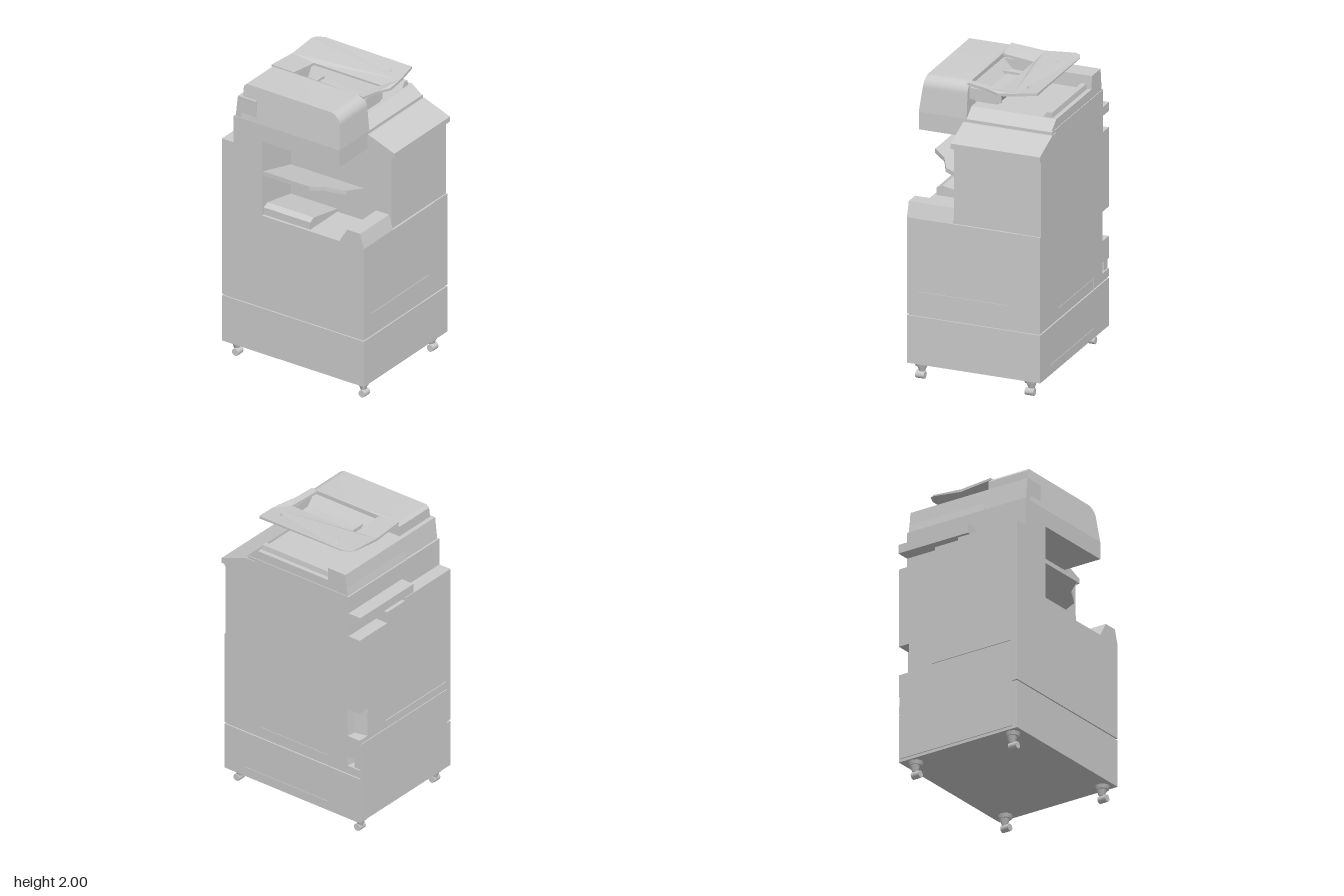
import * as THREE from 'three';
import { toCreasedNormals } from 'three/addons/utils/BufferGeometryUtils.js';

const grey = new THREE.MeshStandardMaterial({ color: 0xcccccc, side: THREE.DoubleSide });

export function createModel() {
  const root = new THREE.Group();
  const copier = new THREE.Group();
  copier.name = 'copier';
  copier.rotation.y = THREE.MathUtils.degToRad(18.6);
  root.add(copier);

  const add = (name, geo, parent = copier) => {
    const mesh = new THREE.Mesh(geo, grey);
    mesh.name = name;
    parent.add(mesh);
    return mesh;
  };
  const extrude = (pts, depth, hole) => {
    const shape = new THREE.Shape(pts.map(p => new THREE.Vector2(...p)));
    if (hole) shape.holes.push(new THREE.Path(hole.map(p => new THREE.Vector2(...p))));
    return new THREE.ExtrudeGeometry(shape, { depth, bevelEnabled: false });
  };
  const flip = pts => pts.map(([a, b]) => [a, -b]);
  // floor plan [x, z] raised from y0 to y1
  const plan = (pts, y0, y1, hole) =>
    extrude(flip(pts), y1 - y0, hole && flip(hole)).rotateX(-Math.PI / 2).translate(0, y0, 0);
  // side profile [z, y] swept from x0 to x1
  const side = (pts, x0, x1) =>
    extrude(pts.map(([z, y]) => [-z, y]), x1 - x0).rotateY(Math.PI / 2).translate(x0, 0, 0);
  // front profile [x, y] swept from z0 to z1
  const front = (pts, z0, z1) => extrude(pts, z1 - z0).translate(0, 0, z0);
  const box = (x0, x1, y0, y1, z0, z1) =>
    new THREE.BoxGeometry(x1 - x0, y1 - y0, z1 - z0)
      .translate((x0 + x1) / 2, (y0 + y1) / 2, (z0 + z1) / 2);
  const rect = (x0, x1, z0, z1) => [[x0, z0], [x1, z0], [x1, z1], [x0, z1]];

  // Cabinet, in layers; some layers are cut at the back right corner
  const full = rect(-0.46, 0.46, -0.55, 0.55);
  const cut = [[-0.46, -0.55], [0.38, -0.55], [0.40, -0.46], [0.46, -0.45], [0.46, 0.55], [-0.46, 0.55]];
  add('lowerCabinet', plan(full, 0.11, 0.435));
  add('drawerGap', box(-0.45, 0.45, 0.435, 0.447, -0.54, 0.54));
  [[full, 0.447, 0.50], [cut, 0.50, 0.57], [full, 0.57, 0.72], [cut, 0.72, 0.92], [full, 0.92, 1.1]]
    .forEach(([pts, y0, y1]) => add('upperCabinet', plan(pts, y0, y1)));

  // Tower on the right and back, leaving the paper exit open at the front left
  const tower = (back, z = back) => [[-0.46, z], [0, z], [0, back], [0.46, back], [0.46, 0.54],
    [-0.14, 0.54], [-0.14, -0.24], [-0.46, -0.24]];
  add('tower', plan(tower(-0.55), 1.1, 1.46));
  add('towerUpper', plan(tower(-0.46, -0.55), 1.46, 1.56));
  add('towerTop', plan(tower(-0.46), 1.56, 1.63));
  add('rearLedge', box(-0.08, 0.46, 1.57, 1.63, -0.555, -0.44));
  add('rearStep', box(0, 0.18, 1.46, 1.54, -0.55, -0.45));

  // Front lip and trays in the paper exit
  add('frontLip', side([[0.36, 1.1], [0.42, 1.2], [0.52, 1.2], [0.55, 1.1]], -0.46, -0.14));
  add('lowerExitTray', front([[-0.44, 1.1], [-0.44, 1.15], [-0.40, 1.17], [-0.14, 1.12], [-0.14, 1.1]], -0.24, 0.12));
  const tray = plan([[-0.45, -0.24], [-0.14, -0.24], [-0.14, 0.33], [-0.30, 0.30], [-0.36, 0.18], [-0.45, 0.12]], 0, 0.03);
  const tp = tray.attributes.position;
  for (let i = 0; i < tp.count; i++) tp.setY(i, tp.getY(i) + 1.30 - (tp.getX(i) + 0.14) * 0.27);
  tray.computeVertexNormals();
  add('upperExitTray', tray);

  // Sloping control panel
  add('controlPanel', side([[0.3, 1.62], [0.568, 1.62], [0.568, 1.655], [0.37, 1.73], [0.3, 1.73]], -0.15, 0.465));
  add('panelShadowGap', box(-0.14, 0.462, 1.605, 1.62, 0.3, 0.548));

  // Scanner
  add('scannerBase', box(-0.46, 0.46, 1.63, 1.75, -0.46, 0.36));
  add('scannerDeck', side([[-0.45, 1.75], [-0.44, 1.81], [0.28, 1.81], [0.36, 1.75]], -0.13, 0.455));
  add('hingeSpine', side([[-0.46, 1.63], [-0.43, 1.9], [-0.29, 1.9], [-0.28, 1.63]], -0.455, 0.455));
  add('deckBar', front([[0.36, 1.81], [0.385, 1.845], [0.42, 1.845], [0.425, 1.81]], -0.28, 0.27));

  // Document feeder: housing with a rounded front and a leaning left face
  const arc = [];
  for (let i = 0; i <= 8; i++) {
    const a = i / 8 * Math.PI / 2;
    arc.push([0.27 + 0.075 * Math.cos(a), 1.91 + 0.075 * Math.sin(a)]);
  }
  const housing = side([[-0.40, 1.75], [0.36, 1.75], ...arc, [-0.38, 1.99], [-0.40, 1.97]], -0.46, -0.13);
  const hp = housing.attributes.position;
  for (let i = 0; i < hp.count; i++)
    if (hp.getX(i) < -0.4) hp.setX(i, -0.46 + (hp.getY(i) - 1.75) * 0.13);
  add('feederHousing', toCreasedNormals(housing, 0.6));

  // Thin input tray that dips beside the housing and rises to the right, with an opening
  const lid = plan(
    [[-0.14, -0.39], [0.09, -0.39], [0.30, -0.39], [0.34, -0.37], [0.36, -0.32],
      [0.355, 0.35], [0.20, 0.37], [0.09, 0.37], [0, 0.34], [-0.14, 0.32]], 0, 0.018,
    [[-0.13, -0.23], [0.085, -0.22], [0.085, 0.30], [-0.13, 0.27]]);
  const lp = lid.attributes.position;
  for (let i = 0; i < lp.count; i++) {
    const x = lp.getX(i);
    const dip = x < 0.09 ? 1.965 - (x + 0.14) * 0.09 : 1.944 + (x - 0.09) * 0.13;
    const rear = THREE.MathUtils.clamp((-0.2 - lp.getZ(i)) * 0.12, 0, 0.02);
    lp.setY(i, Math.min(lp.getY(i) + dip + rear, 2));
  }
  lid.computeVertexNormals();
  add('inputTray', lid);

  // Recess under the opening
  add('feedRecess', front([[-0.14, 1.97], [-0.07, 1.89], [0.045, 1.88], [0.085, 1.95], [0.105, 1.95],
    [0.06, 1.86], [-0.09, 1.86], [-0.15, 1.95]], -0.24, 0.31));
  add('recessPlate', box(-0.06, 0.04, 1.885, 1.9, -0.12, 0.24));
  add('recessBar', box(-0.11, 0.06, 1.89, 1.915, -0.14, -0.12));
  add('recessBack', box(-0.14, 0.085, 1.87, 1.955, -0.25, -0.235));
  add('recessFront', box(-0.14, 0.085, 1.87, 1.945, 0.295, 0.31));
  for (const z of [-0.21, 0.26])
    add('paperGuide', new THREE.ConeGeometry(0.02, 0.03, 3).translate(0.25, 1.987, z));

  // Handles and panel seams
  add('drawerHandle', box(-0.38, 0.25, 0.6, 0.606, 0.5, 0.554));
  add('doorSeam', box(-0.14, 0.32, 1.094, 1.102, 0.5, 0.554));
  add('rightSeamUpper', box(0.4, 0.463, 0.512, 0.52, -0.3, 0.26));
  add('rightSeamStep', box(0.4, 0.463, 0.44, 0.52, -0.306, -0.298));
  add('rightSeamLower', box(0.4, 0.463, 0.17, 0.178, -0.3, 0.38));
  add('rearPanel', box(-0.42, 0.45, 0.13, 0.69, -0.556, -0.5));
  add('rearHandle', box(-0.41, 0.2, 0.73, 0.75, -0.556, -0.5));

  // Casters
  for (const x of [-0.385, 0.37]) for (const z of [-0.49, 0.49]) {
    const caster = new THREE.Group();
    caster.name = 'caster';
    caster.position.set(x, 0, z);
    add('casterPlate', new THREE.CylinderGeometry(0.05, 0.04, 0.03, 8).translate(0, 0.1, 0), caster);
    add('casterFork', new THREE.CylinderGeometry(0.035, 0.018, 0.05, 6).translate(0.005, 0.065, 0), caster);
    add('casterWheel', new THREE.CylinderGeometry(0.025, 0.025, 0.06, 10)
      .rotateZ(Math.PI / 2).translate(0, 0.025, 0.01), caster);
    copier.add(caster);
  }
  return root;
}
